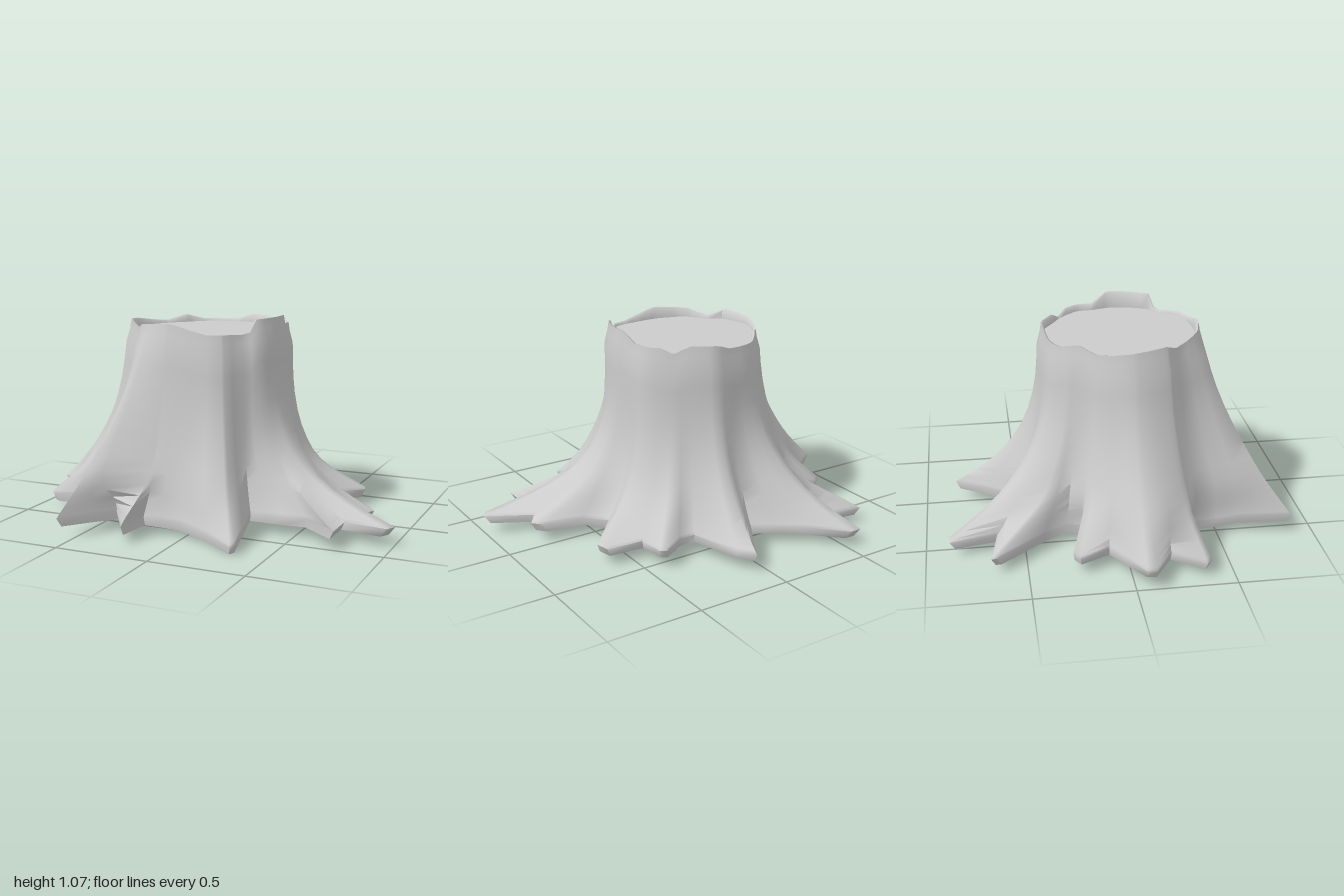
import * as THREE from 'three';
import { toCreasedNormals } from 'three/addons/utils/BufferGeometryUtils.js';

// Centre of the trunk and level of the cut face
const CX = -0.09, CZ = 0.05, CUT = 0.985;

// Ground outline of the roots (x, z), running front, left side, back, right side
const OUTLINE = [
  [-0.57, 0.88], [-0.46, 0.74], [-0.37, 0.63], [-0.24, 0.82], [-0.22, 0.62], [-0.12, 0.615], [-0.02, 0.61],
  [0.13, 0.66], [0.32, 0.77], [0.34, 0.75], [0.3, 0.56], [0.27, 0.39], [0.36, 0.39], [0.45, 0.39], [0.57, 0.37],
  [0.75, 0.51], [0.75, 0.33], [0.97, 0.36], [1, 0.31], [0.77, 0.18], [0.83, 0.09], [0.79, 0.04], [0.58, 0],
  [0.48, -0.11], [0.57, -0.21], [0.66, -0.31], [0.64, -0.38], [0.45, -0.4], [0.44, -0.55], [0.41, -0.57],
  [0.29, -0.5], [0.2, -0.5], [0.12, -0.76], [0.06, -0.84], [-0.03, -0.69], [-0.12, -0.55], [-0.24, -0.64],
  [-0.36, -0.72], [-0.52, -0.88], [-0.58, -0.88], [-0.53, -0.64], [-0.76, -0.68], [-0.76, -0.65],
  [-0.56, -0.4], [-0.49, -0.28], [-0.52, -0.2], [-0.6, -0.21], [-0.78, -0.28], [-0.83, -0.25],
  [-0.76, -0.1], [-0.88, -0.03], [-1, 0.05], [-1, 0.1], [-0.83, 0.2], [-0.93, 0.36], [-0.89, 0.39],
  [-0.68, 0.32], [-0.54, 0.37], [-0.535, 0.5], [-0.53, 0.62],
];

// Values by bearing in degrees (0 = front, 90 = left), joined by straight lines
const RIM = [[-50, 0.99], [-42, 1.03], [-10, 1.05], [6, 1.03], [10, 1.0], [42, 1.0], [52, 0.99], [57, 1.07],
  [94, 1.075], [98, 1.02], [130, 1.02], [140, 0.99], [150, 1.03], [172, 1.03], [184, 1.0],
  [215, 1.0], [228, 1.03], [245, 1.0], [258, 1.01], [275, 1.03], [293, 1.04], [310, 0.99]];
const FLARE = [[-50, 1.6], [-25, 1.4], [-8, 2.2], [35, 2.4], [55, 4.4], [95, 4.4], [130, 3.2], [220, 3.0],
  [250, 2.2], [290, 2.1], [310, 1.6]];
const RADIUS = [[-50, 0.41], [-42, 0.44], [-30, 0.44], [4, 0.42], [30, 0.445], [47, 0.4], [58, 0.42],
  [90, 0.42], [106, 0.405], [118, 0.43], [150, 0.41], [169, 0.435], [184, 0.42], [206, 0.43], [232, 0.405],
  [250, 0.43], [270, 0.46], [295, 0.46], [310, 0.41]];
// Reach of the main roots before they fork
const REACH = [[-50, 0.6], [-30, 0.94], [-15, 0.64], [7, 0.57], [30, 0.8], [47, 0.5], [60, 0.72], [75, 1.02],
  [88, 0.9], [103, 0.58], [118, 0.76], [130, 0.68], [141, 0.76], [151, 0.62], [169, 0.9], [184, 0.6],
  [206, 1.0], [219, 0.86], [232, 0.52], [246, 0.72], [258, 0.75], [272, 0.92], [288, 0.84], [310, 0.58]];
// Height of the lower edge of the roots
const FOOT = [[-50, 0.03], [-30, 0.06], [-10, 0.04], [10, 0.03], [30, 0], [47, 0.06], [76, 0.05], [105, 0.06],
  [120, 0.045], [150, 0.06], [170, 0.05], [206, 0.04], [222, 0.04], [270, 0.06], [290, 0.03], [310, 0.035]];

function sample(table, deg) {
  const i = Math.max(1, table.findIndex(([a]) => a >= deg));
  const [a0, v0] = table[i - 1], [a1, v1] = table[i];
  return v0 + (v1 - v0) * (deg - a0) / (a1 - a0);
}

// One vertical strip per outline point, with its bearing and sampled values
function makeColumns() {
  let last = -Infinity;
  return OUTLINE.map(([x, z]) => {
    let a = Math.atan2(x - CX, z - CZ);
    while (a < last - 0.6) a += Math.PI * 2;
    a = last = Math.max(a, last + 0.025);
    let deg = THREE.MathUtils.radToDeg(a);
    if (deg > 310) deg -= 360;
    return {
      x, z, a, foot: sample(FOOT, deg), rim: sample(RIM, deg), flare: sample(FLARE, deg),
      r: sample(RADIUS, deg), reach: sample(REACH, deg),
    };
  });
}

// Point on the trunk wall at a given bearing
const ring = (c, r, y) => [CX + Math.sin(c.a) * r, y, CZ + Math.cos(c.a) * r];

// Point on the bark: t = 1 at the rim, 0 at the root edge; roots fork only low down
function barkPoint(c, t) {
  const { lerp, smoothstep } = THREE.MathUtils;
  const low = c.foot + 0.045, y = lerp(low, c.rim, t);
  const flare = Math.pow(1 - t, c.flare), fork = 1 - smoothstep(t, 0, 0.25);
  const [tx, , tz] = ring(c, c.r - 0.025 * smoothstep(t, 0.86, 1), y);
  const [rx, , rz] = ring(c, c.reach, y);
  return [lerp(tx, lerp(rx, c.x, fork), flare), y, lerp(tz, lerp(rz, c.z, fork), flare)];
}

// Skin a list of closed rows, given from the top down
function loft(rows) {
  const n = rows[0].length, index = [];
  for (let i = 0; i < rows.length - 1; i++) {
    for (let j = 0; j < n; j++) {
      const k = (j + 1) % n, a = i * n + j, b = i * n + k, c = a + n, d = b + n;
      index.push(a, c, b, b, c, d);
    }
  }
  const g = new THREE.BufferGeometry();
  g.setAttribute('position', new THREE.Float32BufferAttribute(rows.flat(2), 3));
  g.setIndex(index);
  return toCreasedNormals(g, 1.3);
}

export function createModel() {
  const group = new THREE.Group();
  group.name = 'treeStump';
  const material = new THREE.MeshStandardMaterial({ color: 0xcccccc, side: THREE.DoubleSide });
  const add = (name, geometry) => {
    const mesh = new THREE.Mesh(geometry, material);
    mesh.name = name;
    group.add(mesh);
  };
  const columns = makeColumns();

  // Bark and roots, from the jagged rim to the rounded underside of the root edge
  const levels = [1, 0.95, 0.88, 0.78, 0.68, 0.58, 0.48, 0.39, 0.31, 0.24, 0.18, 0.13, 0.085, 0.045, 0.015, 0];
  const bark = levels.map((t) => columns.map((c) => barkPoint(c, t)));
  bark.push(columns.map((c) => {
    const [x, , z] = ring(c, c.r, 0);
    return [c.x + (x - c.x) * 0.05, c.foot, c.z + (z - c.z) * 0.05];
  }));
  add('barkAndRoots', loft(bark));

  // Thin lip inside the rim, down to the cut face
  add('rimLip', loft([
    columns.map((c) => ring(c, c.r - 0.04, CUT - 0.01)),
    columns.map((c) => ring(c, c.r - 0.037, c.rim - 0.004)),
    columns.map((c) => ring(c, c.r - 0.025, c.rim)),
  ]));

  // Flat cut face
  add('cutFace', loft([
    columns.map(() => [CX, CUT, CZ]),
    columns.map((c) => ring(c, c.r - 0.035, CUT)),
  ]));
  return group;
}
